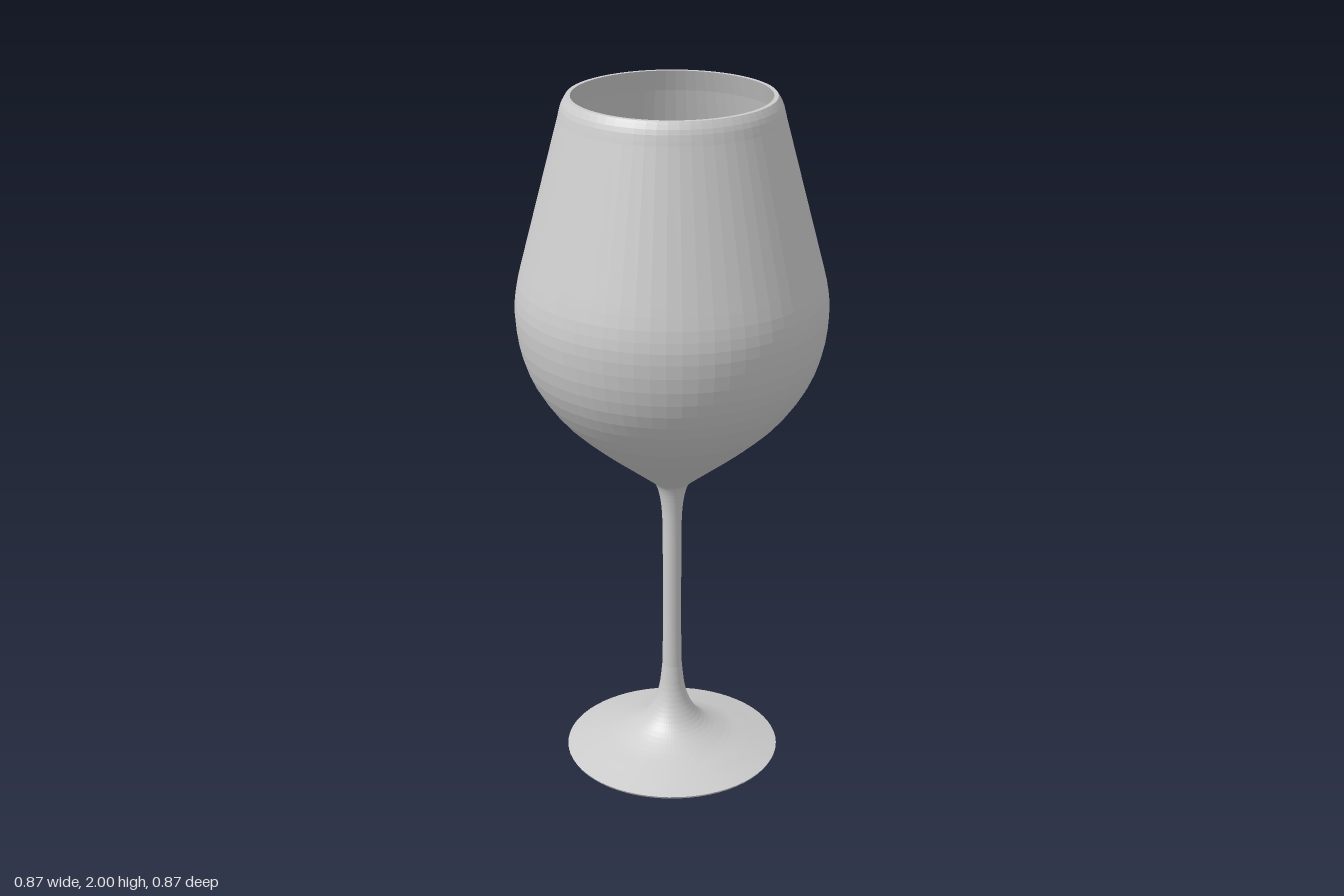
import * as THREE from 'three';

const SIDES = 64;
const glass = new THREE.MeshStandardMaterial({ color: 0xcccccc, flatShading: true });
glass.name = 'pale grey glass';

// Smooth profile through [radius, height] points
function curve(points, steps) {
  return new THREE.SplineCurve(points.map(([r, y]) => new THREE.Vector2(r, y))).getPoints(steps);
}

function turned(name, profile) {
  const mesh = new THREE.Mesh(new THREE.LatheGeometry(profile, SIDES), glass);
  mesh.name = name;
  return mesh;
}

export function createModel() {
  const group = new THREE.Group();
  group.name = 'wineGlass';

  // Foot: nearly flat underside, thin edge, top sweeping up to the stem
  group.add(turned('foot', [
    new THREE.Vector2(0, 0.002),
    new THREE.Vector2(0.15, 0),
    new THREE.Vector2(0.31, 0.006),
    ...curve([[0.314, 0.013], [0.235, 0.036], [0.16, 0.06], [0.098, 0.094],
      [0.061, 0.14], [0.039, 0.2], [0.029, 0.28]], 24),
  ]));

  // Stem: slender, flaring into the bowl
  group.add(turned('stem', curve([[0.029, 0.28], [0.027, 0.4], [0.027, 0.6],
    [0.028, 0.75], [0.034, 0.82], [0.046, 0.865], [0.064, 0.885]], 24)));

  // Bowl: full belly, straight tapering sides, rounded rim, hollow inside
  const belly = curve([[0.064, 0.885], [0.13, 0.937], [0.225, 1.013], [0.317, 1.1],
    [0.386, 1.2], [0.421, 1.295], [0.434, 1.395], [0.428, 1.47], [0.41, 1.545]], 20);
  const rim = curve([[0.306, 1.94], [0.297, 1.975], [0.283, 2]], 5);
  const inside = [[0.271, 2], [0.292, 1.94], [0.396, 1.545], [0.413, 1.47], [0.419, 1.395],
    [0.406, 1.3], [0.371, 1.207], [0.305, 1.112], [0.232, 1.045], [0, 0.965]]
    .map(([r, y]) => new THREE.Vector2(r, y));
  group.add(turned('bowl', [...belly, ...rim, ...inside]));

  return group;
}
